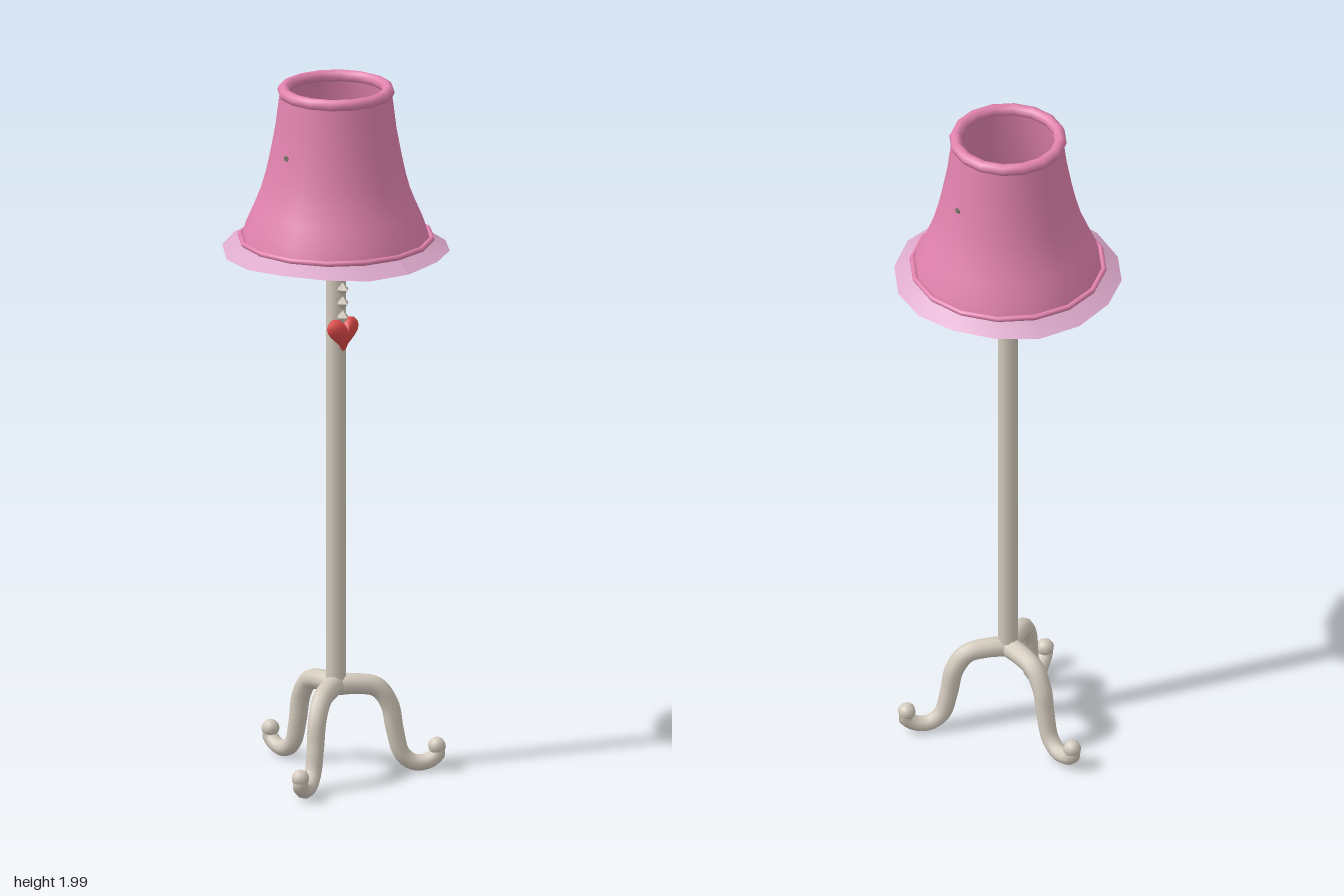
import * as THREE from 'three';
import { mergeVertices } from 'three/addons/utils/BufferGeometryUtils.js';

const mat = (name, color, side = THREE.FrontSide) => {
  const m = new THREE.MeshStandardMaterial({ color, side });
  m.name = name;
  return m;
};

// Lathe from [radius, y] pairs
const lathe = (pts, sides) =>
  new THREE.LatheGeometry(pts.map(([r, y]) => new THREE.Vector2(r, y)), sides);

// Curved leg running out along +z, tapering towards the foot
function legGeometry() {
  const path = new THREE.CatmullRomCurve3([
    [0, 0.268], [0.06, 0.268], [0.115, 0.255], [0.15, 0.205], [0.165, 0.13],
    [0.185, 0.06], [0.22, 0.033], [0.26, 0.036], [0.288, 0.06], [0.28, 0.08],
  ].map(([r, y]) => new THREE.Vector3(0, y, r)));
  const steps = 36, sides = 10;
  const geo = new THREE.TubeGeometry(path, steps, 0.03, sides);
  const pos = geo.attributes.position, v = new THREE.Vector3();
  for (let i = 0; i <= steps; i++) {
    const c = path.getPointAt(i / steps);
    const k = 1 - 0.3 * (i / steps);
    for (let j = 0; j <= sides; j++) {
      const n = i * (sides + 1) + j;
      v.fromBufferAttribute(pos, n).sub(c).multiplyScalar(k).add(c);
      pos.setXYZ(n, v.x, v.y, v.z);
    }
  }
  return geo;
}

// Puffy heart: a sphere whose outline follows a heart curve
function heartGeometry() {
  const geo = new THREE.SphereGeometry(1, 28, 8).rotateX(Math.PI / 2);
  const pos = geo.attributes.position;
  for (let i = 0; i < pos.count; i++) {
    const x = pos.getX(i), y = pos.getY(i), r = Math.hypot(x, y), t = Math.atan2(x, y);
    const hx = 0.053 * Math.sin(t) ** 3;
    const hy = 0.0033 * (13 * Math.cos(t) - 5 * Math.cos(2 * t) - 2 * Math.cos(3 * t) - Math.cos(4 * t));
    pos.setXYZ(i, r * hx, r * hy, pos.getZ(i) * 0.025);
  }
  geo.deleteAttribute('uv');
  geo.deleteAttribute('normal');
  const merged = mergeVertices(geo, 1e-5);
  merged.computeVertexNormals();
  return merged;
}

export function createModel() {
  const group = new THREE.Group();
  const metal = mat('warm grey metal', 0xd3cabd);
  const darkMetal = mat('dark metal', 0x7a7468);
  const pink = mat('pink fabric', 0xe283ae, THREE.DoubleSide);
  const trim = mat('pale pink trim', 0xdca9cb, THREE.DoubleSide);
  const red = mat('red', 0xdc4a48);

  const add = (name, geo, material, x = 0, y = 0, z = 0, parent = group) => {
    const mesh = new THREE.Mesh(geo, material);
    mesh.name = name;
    mesh.position.set(x, y, z);
    parent.add(mesh);
    return mesh;
  };

  // Pole and bulb holder
  add('pole', new THREE.CylinderGeometry(0.028, 0.028, 1.28, 10), metal, 0, 0.9, 0);
  add('bulbHolder', lathe([
    [0.028, 1.5], [0.036, 1.54], [0.048, 1.58], [0.062, 1.61], [0.069, 1.65],
    [0.062, 1.69], [0.04, 1.715], [0, 1.725],
  ], 10), metal);

  // Three legs, one at the back and two at the front
  const leg = legGeometry();
  [Math.PI, Math.PI / 3, -Math.PI / 3].forEach((angle, i) => {
    const legGroup = new THREE.Group();
    legGroup.name = ['backLeg', 'frontLeftLeg', 'frontRightLeg'][i];
    legGroup.rotation.y = angle;
    add('legTube', leg, metal, 0, 0, 0, legGroup);
    add('footTip', new THREE.SphereGeometry(0.025, 10, 8), metal, 0, 0.077, 0.283, legGroup);
    group.add(legGroup);
  });

  // Shade with rolled rims and a gently waved skirt
  add('shade', lathe([
    [0.262, 1.56], [0.25, 1.6], [0.228, 1.65], [0.208, 1.7], [0.194, 1.75],
    [0.183, 1.8], [0.168, 1.88], [0.155, 1.985],
  ], 16), pink);
  const rim = (name, radius, tube, y) =>
    add(name, new THREE.TorusGeometry(radius, tube, 8, 16).rotateX(Math.PI / 2), pink, 0, y, 0);
  rim('topRim', 0.146, 0.017, 1.983);
  rim('bottomRim', 0.266, 0.008, 1.562);

  const skirt = lathe([[0.316, 1.528], [0.262, 1.56]], 16);
  const sp = skirt.attributes.position;
  for (let i = 0; i < sp.count; i++) {
    if (sp.getY(i) < 1.55) {
      const a = Math.atan2(sp.getZ(i), sp.getX(i));
      sp.setY(i, 1.528 + 0.005 * Math.cos(4 * a + 2));
    }
  }
  skirt.computeVertexNormals();
  add('skirt', skirt, trim);

  // Cross bar that carries the shade
  add('shadeBar', new THREE.CylinderGeometry(0.009, 0.009, 0.36, 8).rotateZ(Math.PI / 2), darkMetal, 0, 1.82, 0);
  add('barPost', new THREE.CylinderGeometry(0.009, 0.009, 0.1, 8), darkMetal, 0, 1.77, 0);

  // Pull chain hanging from a short arm, with a heart
  const cx = -0.067, cz = 0.11;
  const armLength = Math.hypot(cx, cz);
  const arm = add('chainArm',
    new THREE.CylinderGeometry(0.02, 0.02, armLength, 8).rotateX(Math.PI / 2),
    metal, cx / 2, 1.63, cz / 2);
  arm.rotation.y = Math.atan2(cx, cz);
  for (let i = 0; i < 7; i++) {
    add('chainBead', new THREE.OctahedronGeometry(0.02), metal, cx, 1.368 + i * 0.04, cz);
  }
  add('heart', heartGeometry(), red, cx, 1.326, cz);

  return group;
}
